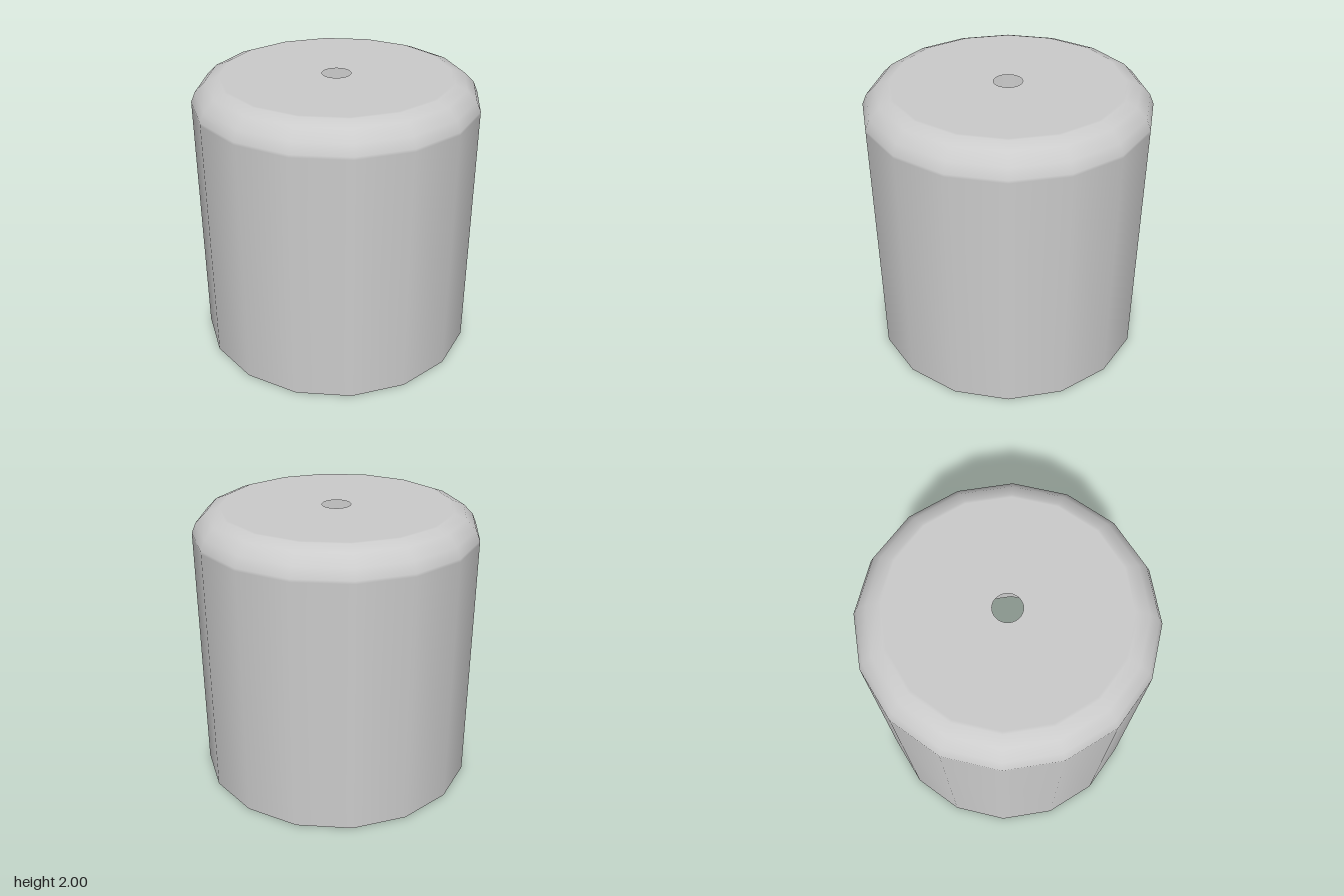
import * as THREE from 'three';

const SIDES = 16;
const HEIGHT = 2;
const COLLAR = 0.3; // where the lathed shell meets the pierced centre

// Points of a regular polygon
function ring(radius, count) {
  return Array.from({ length: count }, (_, i) => {
    const a = (i / count) * Math.PI * 2;
    return new THREE.Vector2(Math.cos(a) * radius, Math.sin(a) * radius);
  });
}

export function createModel() {
  const group = new THREE.Group();
  group.name = 'openCap';
  const material = new THREE.MeshStandardMaterial({ color: 0xcccccc, side: THREE.DoubleSide });

  // Thin wall, open below, with a rounded shoulder; the close pairs keep the flats flat
  const profile = [
    [1, 0], [1, 1.81], [1, 1.83],
    [0.97, 1.9], [0.9, 1.97],
    [0.82, HEIGHT], [0.8, HEIGHT], [COLLAR, HEIGHT],
  ].map(([r, y]) => new THREE.Vector2(r, y));
  const shell = new THREE.Mesh(new THREE.LatheGeometry(profile, SIDES), material);
  shell.name = 'shell';
  group.add(shell);

  // Centre of the top with a finer round hole
  const plate = new THREE.Shape(ring(COLLAR, SIDES));
  plate.holes.push(new THREE.Path(ring(0.1, 32).reverse()));
  const centre = new THREE.Mesh(new THREE.ShapeGeometry(plate).rotateX(-Math.PI / 2), material);
  centre.name = 'piercedTop';
  centre.position.y = HEIGHT;
  group.add(centre);

  return group;
}
